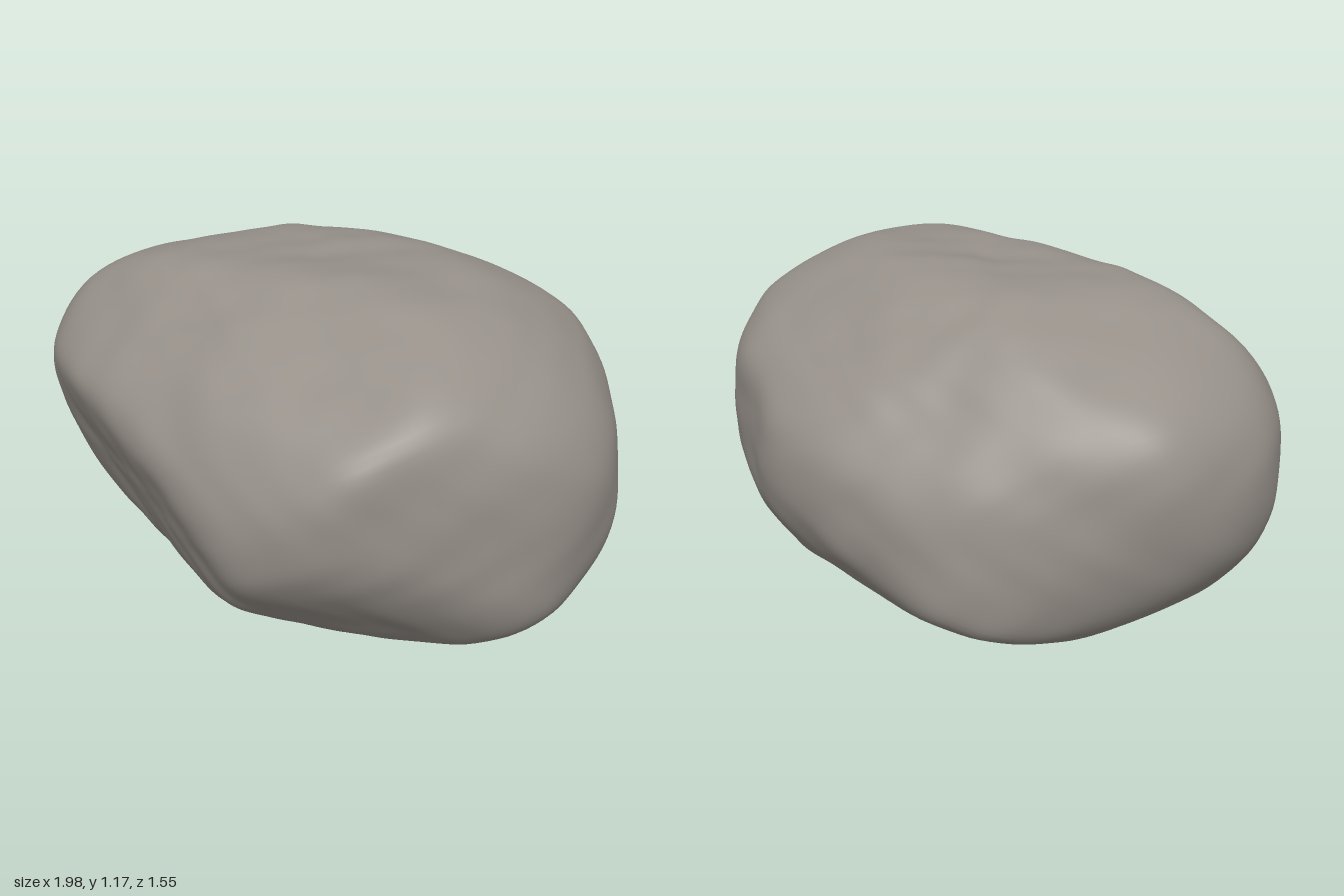
import * as THREE from 'three';
import { mergeVertices } from 'three/addons/utils/BufferGeometryUtils.js';

const CENTRE_Y = 0.59;
const SHARPNESS = 30;

// A contour across one direction, given as radii at equal angles around the centre.
// Returns a gauge that is 1 on the extruded contour and grows linearly outwards.
function contour(azimuth, elevation, radii) {
  const a = THREE.MathUtils.degToRad(azimuth), e = THREE.MathUtils.degToRad(elevation);
  const right = new THREE.Vector3(Math.cos(a), 0, -Math.sin(a));
  const up = new THREE.Vector3(-Math.sin(a) * Math.sin(e), Math.cos(e), -Math.cos(a) * Math.sin(e));
  const n = radii.length;
  return (p) => {
    const u = p.dot(right), v = p.dot(up);
    const turn = (Math.atan2(v, u) / (2 * Math.PI) + 1) * n;
    const i = Math.floor(turn), t = turn - i;
    const [r0, r1, r2, r3] = [-1, 0, 1, 2].map((k) => radii[(i + k + n) % n]);
    // Smooth curve through the neighbouring radii
    const radius = r1 + 0.5 * t * (r2 - r0 + t * (2 * r0 - 5 * r1 + 4 * r2 - r3 + t * (3 * (r1 - r2) + r3 - r0)));
    return Math.hypot(u, v) / radius;
  };
}

// A flat chip: half-space with the given normal and distance from the centre
function chip(x, y, z, distance) {
  const normal = new THREE.Vector3(x, y, z).normalize();
  return (p) => Math.max(0, p.dot(normal) / distance);
}

const gauges = [
  // front, side and top contours
  contour(0, 0, [0.99, 0.95, 0.79, 0.64, 0.58, 0.6, 0.74, 0.94, 1, 0.88, 0.7, 0.58, 0.55, 0.62, 0.78, 0.97]),
  contour(90, 0, [0.77, 0.73, 0.65, 0.63, 0.57, 0.62, 0.69, 0.72, 0.78, 0.77, 0.68, 0.61, 0.59, 0.61, 0.64, 0.7]),
  contour(0, 90, [0.98, 0.94, 0.83, 0.75, 0.79, 0.77, 0.83, 0.9, 1, 0.99, 0.86, 0.75, 0.78, 0.83, 0.9, 0.92]),
  // slanted contours
  contour(40, 25, [0.9, 0.8, 0.68, 0.66, 0.7, 0.92, 0.93, 0.69, 0.65, 0.64, 0.77, 0.91]),
  contour(220, 25, [0.96, 0.75, 0.63, 0.63, 0.78, 0.89, 0.89, 0.72, 0.62, 0.6, 0.72, 0.88]),
  contour(140, -25, [0.83, 0.69, 0.64, 0.68, 0.77, 0.9, 0.87, 0.73, 0.68, 0.63, 0.78, 0.86]),
  // chipped face low on the front
  chip(-0.33, -0.345, 0.877, 0.64),
];

// Gentle weathering: layered waves bent by one another
function weathering(d) {
  let sum = 0;
  for (let k = 0; k < 3; k++) {
    const f = 5 * 1.8 ** k;
    const warp = Math.sin(d.y * f * 0.7 + k * 2.1);
    sum += Math.sin(d.x * f + warp + k) * Math.sin(d.z * f * 1.1 - warp + 1.3) * Math.cos(d.y * f + d.x * 2) / 1.7 ** k;
  }
  return sum;
}

export function createModel() {
  const group = new THREE.Group();
  group.name = 'rock';

  // Sphere pulled onto the rounded intersection of all the contours
  const sphere = new THREE.IcosahedronGeometry(1, 36);
  sphere.deleteAttribute('uv');
  sphere.deleteAttribute('normal');
  const geometry = mergeVertices(sphere, 1e-4);
  const position = geometry.attributes.position;
  const d = new THREE.Vector3();
  for (let i = 0; i < position.count; i++) {
    d.fromBufferAttribute(position, i).normalize();
    const sum = gauges.reduce((total, gauge) => total + gauge(d) ** SHARPNESS, 0);
    const radius = 1.02 * sum ** (-1 / SHARPNESS) + 0.009 * weathering(d);
    position.setXYZ(i, d.x * radius, d.y * radius + CENTRE_Y, d.z * radius);
  }
  geometry.computeVertexNormals();

  const boulder = new THREE.Mesh(geometry, new THREE.MeshStandardMaterial({ color: 0x969089 }));
  boulder.name = 'boulder';
  group.add(boulder);
  return group;
}
